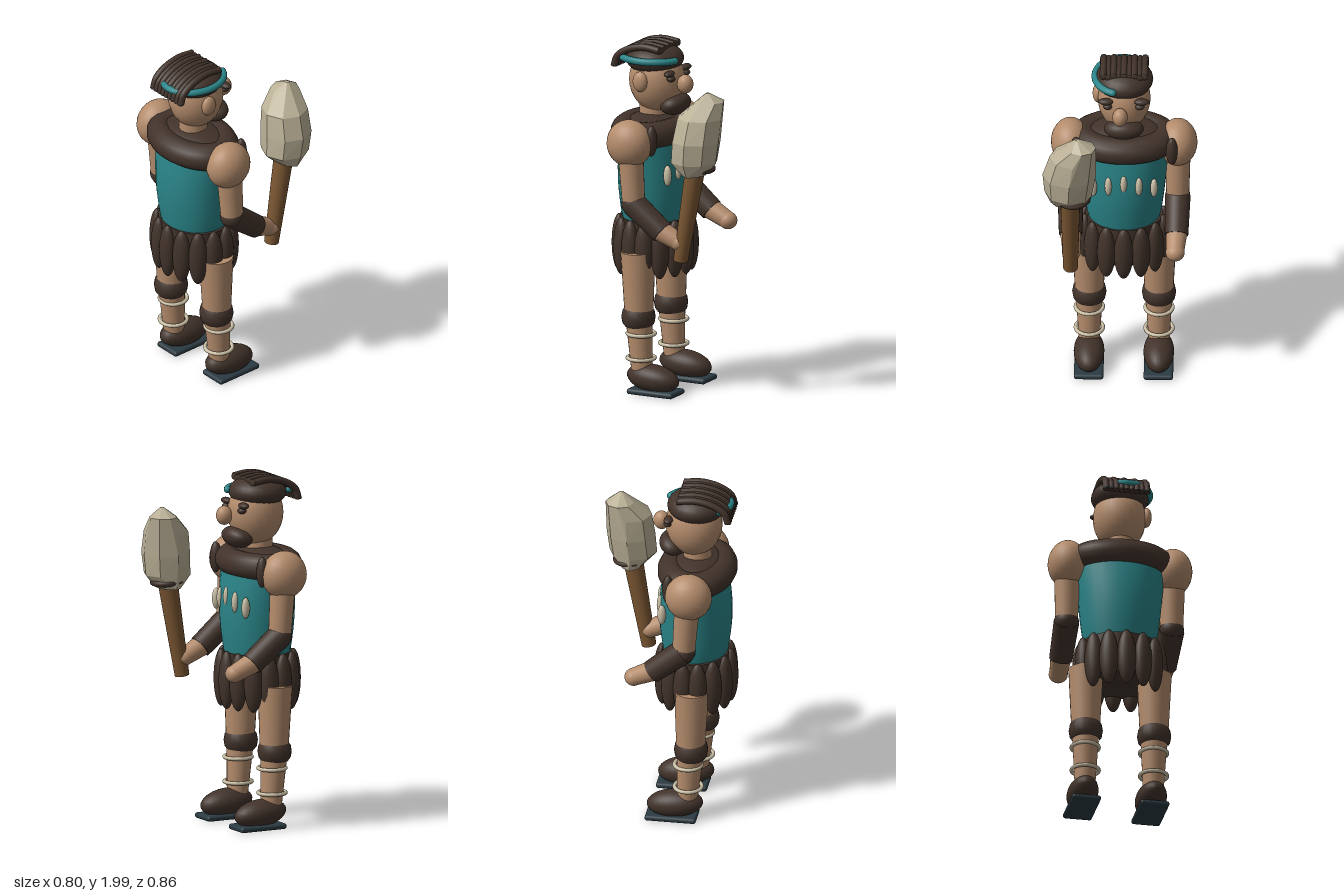
import * as THREE from 'three';
import { ConvexGeometry } from 'three/addons/geometries/ConvexGeometry.js';
import { RoundedBoxGeometry } from 'three/addons/geometries/RoundedBoxGeometry.js';

const mat = (name, color) => {
  const m = new THREE.MeshStandardMaterial({ color });
  m.name = name;
  return m;
};
const V = (x, y, z) => new THREE.Vector3(x, y, z);

export function createModel() {
  const skin = mat('skin', 0xb48c6c);
  const fur = mat('dark fur', 0x42332b);
  const teal = mat('teal cloth', 0x2a8488);
  const bone = mat('bone', 0xcabfa6);
  const stone = mat('stone', 0xbab096);
  stone.flatShading = true;
  const wood = mat('wood', 0x7a5632);
  const slate = mat('slate sole', 0x2b3a42);

  const model = new THREE.Group();
  model.name = 'caveman';
  // The figure faces +x; its own middle plane lies slightly behind z = 0
  const body = new THREE.Group();
  body.name = 'body';
  body.position.z = -0.02;
  model.add(body);

  const add = (name, geo, material, parent = body) => {
    const mesh = new THREE.Mesh(geo, material);
    mesh.name = name;
    parent.add(mesh);
    return mesh;
  };
  const blob = (name, material, [x, y, z], [rx, ry, rz], tilt = 0) => {
    const mesh = add(name, new THREE.SphereGeometry(1, 24, 16), material);
    mesh.position.set(x, y, z);
    mesh.scale.set(rx, ry, rz);
    mesh.rotation.z = tilt;
    return mesh;
  };
  // Tapered round bar from point a to point b
  const bar = (name, material, a, b, ra, rb, parent = body) => {
    const d = b.clone().sub(a);
    const mesh = add(name, new THREE.CylinderGeometry(rb, ra, d.length(), 24), material, parent);
    mesh.position.copy(a).addScaledVector(d, 0.5);
    mesh.quaternion.setFromUnitVectors(V(0, 1, 0), d.normalize());
    return mesh;
  };
  const ring = (name, material, [x, y, z], r, tube, parent = body) => {
    const geo = new THREE.TorusGeometry(r, tube, 10, 32).rotateX(Math.PI / 2);
    const mesh = add(name, geo, material, parent);
    mesh.position.set(x, y, z);
    return mesh;
  };
  // Tube along part of a flat ellipse; angles run from +x toward +z
  const ellipseTube = (name, material, [x, y, z], rx, rz, tube, from, to, closed) => {
    const pts = [];
    for (let i = 0; i < 24; i++) {
      const a = from + (to - from) * i / (closed ? 24 : 23);
      pts.push(V(x + rx * Math.cos(a), y, z + rz * Math.sin(a)));
    }
    const curve = new THREE.CatmullRomCurve3(pts, closed);
    return add(name, new THREE.TubeGeometry(curve, 64, tube, 14, closed), material);
  };

  // Barrel-shaped tunic, wider at the chest than at the waist
  const tunic = new THREE.CylinderGeometry(1, 1, 0.5, 32, 10);
  const p = tunic.attributes.position;
  for (let i = 0; i < p.count; i++) {
    const t = p.getY(i) / 0.5 + 0.5;
    p.setX(i, p.getX(i) * (0.18 + 0.025 * Math.sin(Math.PI * t)));
    p.setZ(i, p.getZ(i) * (0.2 + 0.055 * Math.pow(t, 0.7)));
  }
  tunic.computeVertexNormals();
  add('tunic', tunic, teal).position.set(-0.155, 1.23, 0);

  // Fur collar, its shoulder tufts and the neck
  ellipseTube('furCollar', fur, [-0.165, 1.495, 0], 0.145, 0.225, 0.077, 0, Math.PI * 2, true);
  blob('collarFill', fur, [-0.165, 1.5, 0], [0.17, 0.09, 0.25]);
  bar('neck', skin, V(-0.165, 1.5, 0), V(-0.165, 1.68, 0), 0.08, 0.08);

  // Necklace of teeth across the chest
  for (let i = -2; i <= 2; i++) {
    const k = Math.abs(i);
    blob('tooth', bone, [0.035 - 0.006 * k * k, 1.31 - 0.02 * k, i * 0.085], [0.024, 0.06, 0.021]);
  }

  // Head and face
  blob('head', skin, [-0.145, 1.775, 0], [0.16, 0.185, 0.148]);
  blob('nose', skin, [0.043, 1.77, 0.02], [0.047, 0.054, 0.043]);
  blob('beard', fur, [-0.028, 1.645, 0], [0.08, 0.06, 0.112], 0.3);
  blob('ear', skin, [-0.175, 1.785, 0.147], [0.045, 0.058, 0.03]);
  for (const s of [1, -1]) {
    blob('eyebrow', fur, [-0.015, 1.837, s * 0.1], [0.026, 0.018, 0.042]);
    blob('eye', fur, [-0.01, 1.808, s * 0.09], [0.024, 0.018, 0.026]);
  }

  // Cap of hair with thick strands combed backward
  blob('hair', fur, [-0.16, 1.895, 0], [0.165, 0.09, 0.163]);
  for (let i = -4; i <= 4; i++) {
    const z = i * 0.029;
    const outer = Math.abs(i) === 4;
    const lift = outer ? 0 : -0.006 * (Math.abs(i) % 2);
    const strand = new THREE.CatmullRomCurve3([
      V(-0.07, 1.968 + lift, z), V(-0.17, 1.978 + lift, z), V(-0.27, 1.955 + lift, z),
      V(-0.335, 1.91 + lift, z), V(-0.355, 1.855, z),
    ]);
    add('hairStrand', new THREE.TubeGeometry(strand, 24, 0.02, 10), fur);
    const tip = blob('strandFront', fur, [-0.07, 1.968 + lift, z], [0.006, 0.02, 0.02]);
    tip.rotation.z = 0.1;
    blob('strandEnd', fur, [-0.355, 1.855, z], [0.02, 0.008, 0.02]);
  }
  // Headband wrapping the one side of the head
  ellipseTube('headband', teal, [-0.17, 1.905, 0.008], 0.18, 0.155, 0.02, 0.35, 3.85, false);
  for (const a of [0.35, 3.85]) {
    blob('headbandEnd', teal,
      [-0.17 + 0.18 * Math.cos(a), 1.905, 0.008 + 0.155 * Math.sin(a)], [0.02, 0.02, 0.02]);
  }

  // Skirt of overlapping fur flaps around a solid core
  const core = add('skirtCore', new THREE.CylinderGeometry(0.19, 0.19, 0.24, 32), fur);
  core.position.set(-0.157, 0.87, 0);
  core.scale.z = 1.15;
  for (let i = 0; i < 14; i++) {
    const a = i / 14 * Math.PI * 2;
    const flap = blob('skirtFlap', fur,
      [-0.157 + 0.195 * Math.cos(a), 0.835, 0.225 * Math.sin(a)], [0.043, 0.165, 0.053]);
    flap.rotation.y = -a;
  }

  for (const s of [1, -1]) {
    const legZ = s * 0.195;
    // Leg, knee fur, anklets and shoe
    bar('thigh', skin, V(-0.157, 0.45, legZ), V(-0.163, 0.82, legZ), 0.08, 0.098);
    bar('shin', skin, V(-0.137, 0.12, legZ), V(-0.157, 0.45, legZ), 0.058, 0.077);
    const kneeProfile = [[0.075, 0.39], [0.09, 0.41], [0.096, 0.445], [0.09, 0.48], [0.075, 0.5]]
      .map(([r, y]) => new THREE.Vector2(r, y));
    add('kneeFur', new THREE.LatheGeometry(kneeProfile, 24), fur).position.set(-0.16, 0, legZ);
    for (const y of [0.35, 0.21]) ring('anklet', bone, [-0.143, y, legZ], 0.077, 0.011);
    blob('shoe', fur, [-0.068, 0.1, legZ], [0.16, 0.078, 0.086], -0.1);
    add('sole', new RoundedBoxGeometry(0.29, 0.032, 0.165, 3, 0.015), slate)
      .position.set(-0.052, 0.026, legZ);

    // Arm bent forward, with a fur cuff from elbow to wrist
    const armZ = s * 0.3;
    const elbow = V(-0.135, 1.12, armZ), wrist = V(0.045, 0.975, s * 0.296);
    const hand = V(0.15, 0.928, s * 0.29);
    blob('shoulder', skin, [-0.162, 1.465, armZ], [0.133, 0.135, 0.11]);
    bar('upperArm', skin, elbow, V(-0.155, 1.42, armZ), 0.064, 0.072);
    blob('elbow', fur, elbow.toArray(), [0.068, 0.068, 0.07]);
    bar('cuff', fur, elbow, wrist, 0.072, 0.066);
    bar('forearm', skin, V(0.03, 0.985, s * 0.297), hand, 0.06, 0.05);
    blob('hand', skin, hand.toArray(), [0.052, 0.05, 0.054]);
    blob('shoulderTuft', fur, [-0.04, 1.485, s * 0.268], [0.032, 0.088, 0.034]);
  }

  // Club: wooden handle, binding ring and rough stone head
  const club = new THREE.Group();
  club.name = 'club';
  model.add(club);
  bar('handle', wood, V(0.16, 0.825, 0.275), V(0.258, 1.4, 0.275), 0.041, 0.057, club);
  ring('binding', fur, [0.26, 1.375, 0.26], 0.083, 0.018, club).rotation.z = -0.1;
  // Each ring of the stone: height, centre x, centre z, radius x, radius z
  const rings = [
    [1.335, 0.255, 0.275, 0.06, 0.11], [1.41, 0.25, 0.285, 0.135, 0.135],
    [1.53, 0.262, 0.28, 0.138, 0.15], [1.66, 0.27, 0.26, 0.13, 0.13],
    [1.75, 0.315, 0.21, 0.08, 0.08], [1.8, 0.31, 0.235, 0.012, 0.012],
  ];
  const corners = [];
  for (const [y, x, z, rx, rz] of rings) {
    for (let i = 0; i < 8; i++) {
      const a = i * Math.PI / 4;
      corners.push(V(x + rx * Math.cos(a), y, z + rz * Math.sin(a)));
    }
  }
  add('stoneHead', new ConvexGeometry(corners), stone, club);
  return model;
}
